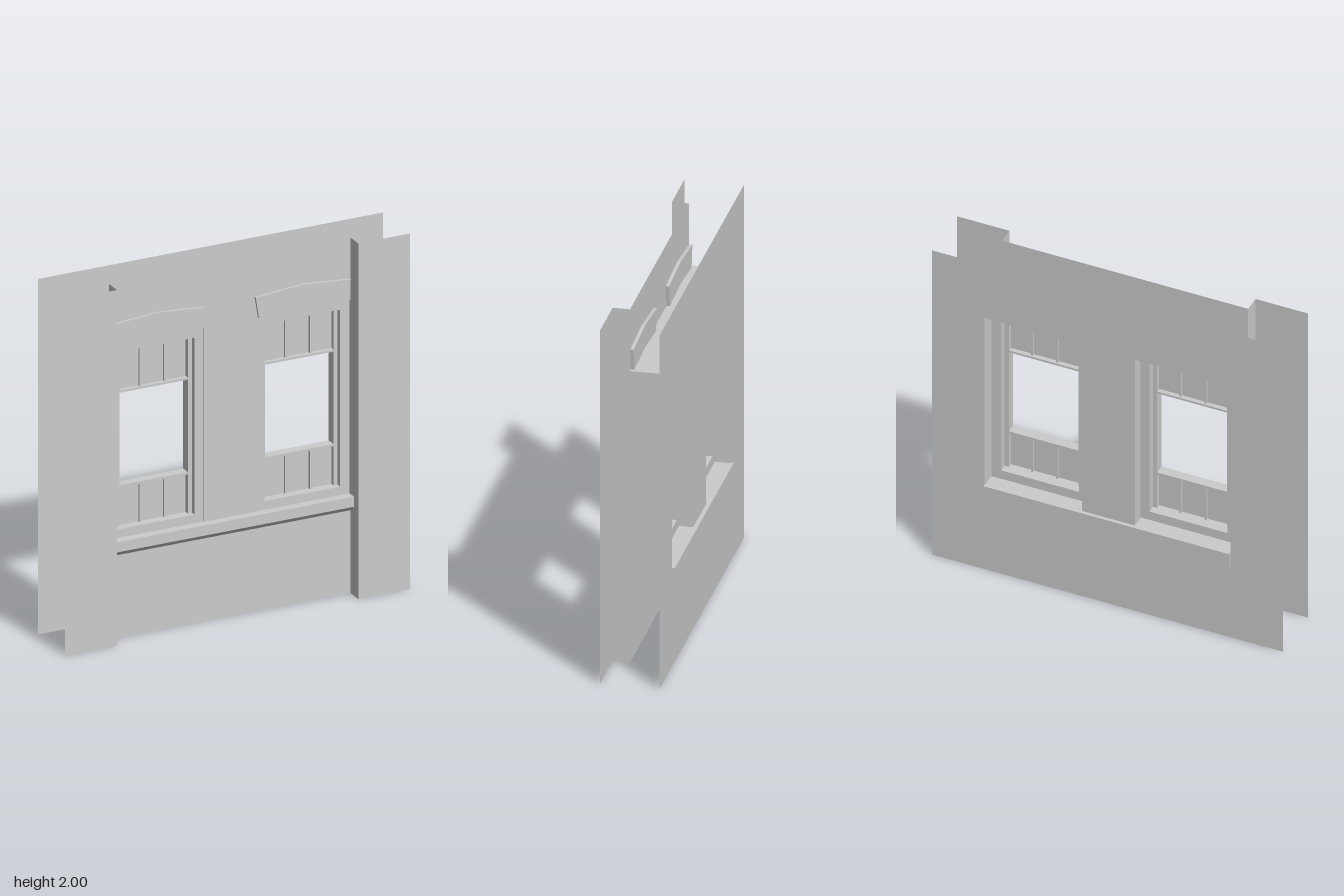
import * as THREE from 'three';

const solid = new THREE.MeshStandardMaterial({ color: 0xcccccc, flatShading: true });
const sheet = new THREE.MeshStandardMaterial({ color: 0xcccccc, flatShading: true, side: THREE.DoubleSide });

export function createModel() {
  const root = new THREE.Group();
  root.name = 'wallWithWindows';

  const add = (parent, name, geometry, material = solid) => {
    const mesh = new THREE.Mesh(geometry, material);
    mesh.name = name;
    parent.add(mesh);
    return mesh;
  };

  // Box given by its lower and upper limits on each axis
  const box = (parent, name, x0, x1, y0, y1, z0, z1) =>
    add(parent, name, new THREE.BoxGeometry(x1 - x0, y1 - y0, z1 - z0))
      .position.set((x0 + x1) / 2, (y0 + y1) / 2, (z0 + z1) / 2);

  // Upright sheet facing z
  const facing = (name, x0, x1, y0, y1, z) =>
    add(root, name, new THREE.PlaneGeometry(x1 - x0, y1 - y0), sheet)
      .position.set((x0 + x1) / 2, (y0 + y1) / 2, z);

  // Upright sheet facing sideways
  const sideways = (name, x, y0, y1, z0, z1) => {
    const mesh = add(root, name, new THREE.PlaneGeometry(z1 - z0, y1 - y0), sheet);
    mesh.position.set(x, (y0 + y1) / 2, (z0 + z1) / 2);
    mesh.rotation.y = x < 0 ? Math.PI / 2 : -Math.PI / 2;
  };

  const rect = (Type, x0, x1, y0, y1) => {
    const p = new Type();
    p.moveTo(x0, y0);
    p.lineTo(x1, y0);
    p.lineTo(x1, y1);
    p.lineTo(x0, y1);
    p.closePath();
    return p;
  };

  const polygon = (points) => new THREE.Shape(points.map(([x, y]) => new THREE.Vector2(x, y)));
  const extrude = (shape, depth) => new THREE.ExtrudeGeometry(shape, { depth, bevelEnabled: false });

  const W = 0.7, bottom = 0.51, top = 1.65;   // opening shared by both windows
  const front = 0.073, back = -0.151;         // wall faces
  const winX0 = 0.2, winX1 = 0.645, winY0 = 0.605, winY1 = 1.6;

  // Front wall above and below the opening
  facing('frontWallUpper', -W, W, top, 2, front);
  facing('frontWallLower', -W, W, 0, bottom, front);

  // Inner wall with one wide opening
  const inner = rect(THREE.Shape, -1, 1, 0, 2);
  inner.holes.push(rect(THREE.Path, -W, W, bottom, top));
  add(root, 'backWall', new THREE.ShapeGeometry(inner), sheet).position.z = back;

  // Projecting pilasters and the sides of the opening
  for (const s of [-1, 1]) {
    facing('pilasterFace', s < 0 ? -1 : W, s < 0 ? -W : 1, 0, 2, 0.165);
    sideways('pilasterReturn', s * W, 0, 2, front, 0.165);
    sideways('openingSide', s * W, bottom, top, back, front);
  }
  const head = add(root, 'openingHead', new THREE.PlaneGeometry(2 * W, front - back), sheet);
  head.rotation.x = Math.PI / 2;
  head.position.set(0, top, (front + back) / 2);

  // Frame board with two window holes
  const board = rect(THREE.Shape, -W, W, bottom, top);
  board.holes.push(rect(THREE.Path, -winX1, -winX0, winY0, winY1));
  board.holes.push(rect(THREE.Path, winX0, winX1, winY0, winY1));
  add(root, 'windowSurround', extrude(board, 0.128)).position.z = -0.064;

  // Pier between the windows
  box(root, 'centrePier', -0.15, 0.15, 0.55, top, -0.139, 0.068);

  // Front sill with a splayed underside, extruded along x
  const sill = extrude(polygon([[-0.115, 0.5], [-0.073, 0.465], [-0.064, 0.465], [-0.064, 0.557], [-0.115, 0.557]]), 2 * W);
  sill.rotateY(Math.PI / 2);
  add(root, 'frontSill', sill).position.x = -W;

  // Inner sill board and its lip
  box(root, 'backSillBoard', -W, W, bottom, 0.55, back, -0.064);
  box(root, 'backSillLip', -W, W, 0.465, 0.555, -0.165, back);

  for (const s of [-1, 1]) {
    const win = new THREE.Group();
    win.name = s < 0 ? 'rightWindow' : 'leftWindow';
    win.position.x = s * (winX0 + winX1) / 2;
    root.add(win);

    const half = (winX1 - winX0) / 2, clear = half - 0.024;
    const z0 = -0.02, z1 = 0.035, zg = 0.008;

    // Stiles either side of the glass
    box(win, 'stile', -half, -clear, winY0, winY1, z0, z1);
    box(win, 'stile', clear, half, winY0, winY1, z0, z1);

    // Upper and lower sashes: rail, pane and two glazing bars each
    for (const [y0, y1, r0, r1] of [[1.37, winY1, 1.358, 1.37], [winY0, 0.825, 0.825, 0.838]]) {
      box(win, 'sashRail', -clear, clear, r0, r1, z0, z1);
      box(win, 'pane', -clear, clear, y0, y1, zg - 0.003, zg + 0.003);
      for (const k of [-1, 1]) {
        const x = k * clear * 0.36;
        box(win, 'glazingBar', x - 0.005, x + 0.005, y0, y1, z0 + 0.01, z1 - 0.01);
      }
    }

    // Shallow arched lintel
    const c = s * 0.42;
    const arch = polygon([[-0.257, top], [0, 1.668], [0.257, top], [0.276, 1.77], [0, 1.792], [-0.276, 1.77]]);
    add(root, 'lintel', extrude(arch, 0.033)).position.set(c, 0, 0.055);
  }

  return root;
}
